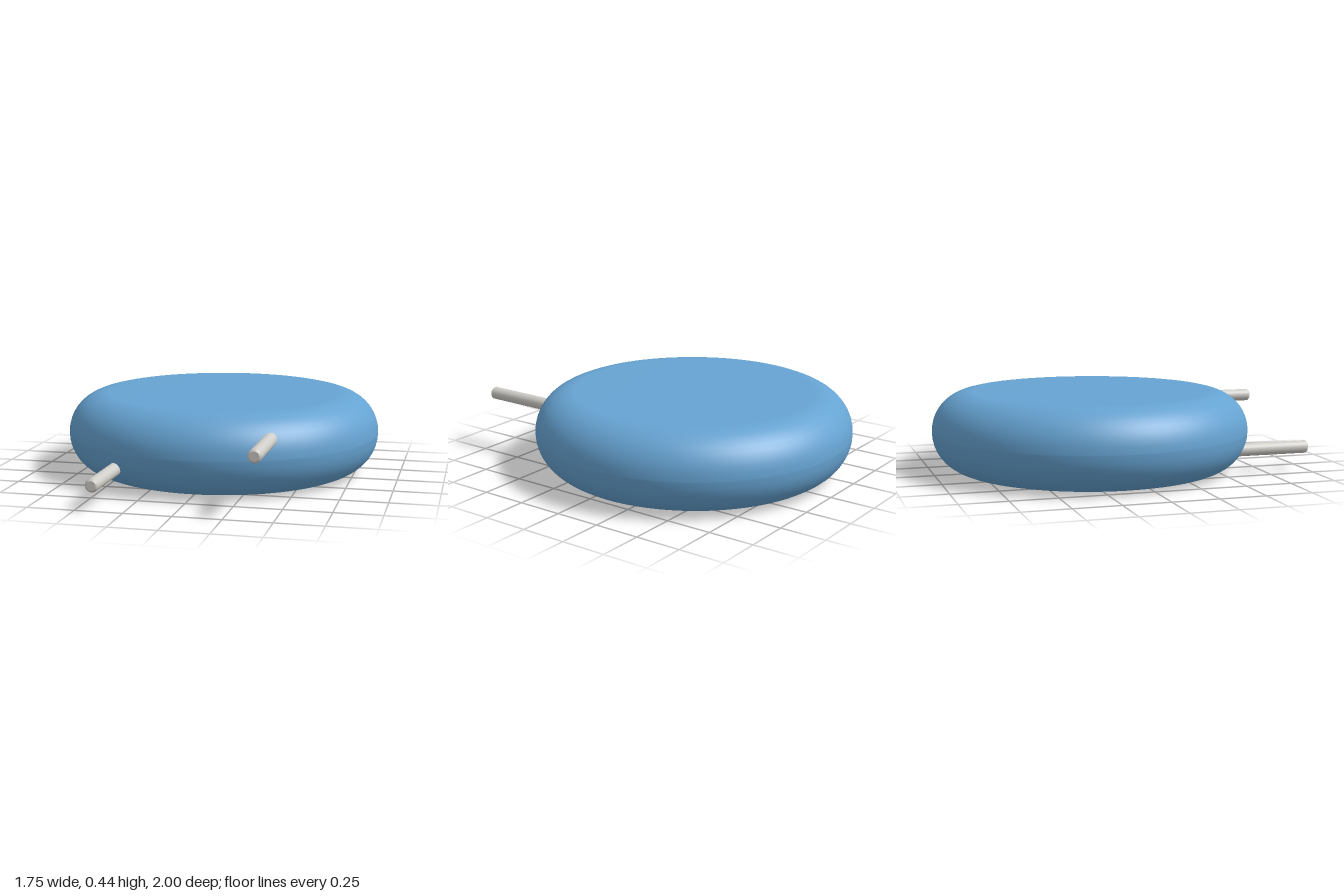
import * as THREE from 'three';

const HEIGHT = 0.437, RADIUS = 0.873, ROUND = 0.215, CENTRE_Z = -0.127;

// Lathe outline of a disc with a rounded rim, from bottom centre to top centre
function discProfile() {
  const points = [new THREE.Vector2(0, 0)];
  const steps = 10;
  for (const [cy, start] of [[ROUND, -Math.PI / 2], [HEIGHT - ROUND, 0]]) {
    for (let i = 0; i <= steps; i++) {
      const a = start + (i / steps) * Math.PI / 2;
      points.push(new THREE.Vector2(RADIUS - ROUND + Math.cos(a) * ROUND, cy + Math.sin(a) * ROUND));
    }
  }
  points.push(new THREE.Vector2(0, HEIGHT));
  return points;
}

// Straight wire lead along z with a slightly bevelled tip
function makeLead(name, x, y, material) {
  const r = 0.035, back = 0.45, tip = 1, bevel = 0.01;
  const profile = [
    [0, back], [r, back], [r, back], [r, tip - bevel], [r, tip - bevel],
    [r - bevel, tip], [r - bevel, tip], [0, tip],
  ].map(([px, py]) => new THREE.Vector2(px, py));
  const geometry = new THREE.LatheGeometry(profile, 24);
  geometry.rotateX(Math.PI / 2);
  const lead = new THREE.Mesh(geometry, material);
  lead.name = name;
  lead.position.set(x, y, 0);
  return lead;
}

export function createModel() {
  const model = new THREE.Group();
  model.name = 'discComponent';

  const blue = new THREE.MeshStandardMaterial({ color: 0x66a3d2 });
  const metal = new THREE.MeshStandardMaterial({ color: 0xd0cec8 });

  // Coated disc body
  const body = new THREE.Mesh(new THREE.LatheGeometry(discProfile(), 96), blue);
  body.name = 'discBody';
  body.position.z = CENTRE_Z;
  model.add(body);

  // Two leads, offset to opposite faces of the disc
  model.add(makeLead('leftLead', 0.406, 0.318, metal));
  model.add(makeLead('rightLead', -0.41, 0.128, metal));

  return model;
}
